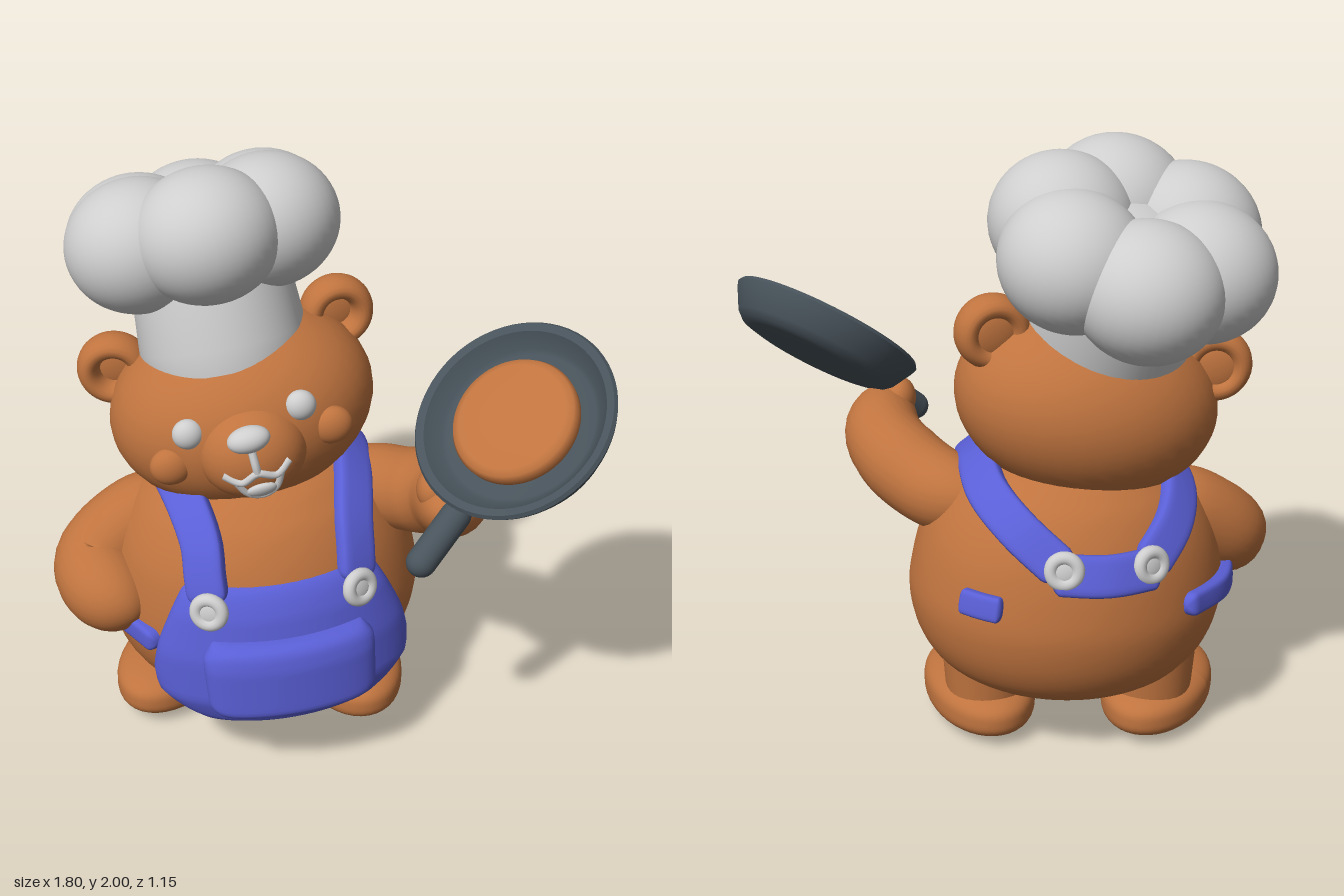
import * as THREE from 'three';
import { toCreasedNormals } from 'three/addons/utils/BufferGeometryUtils.js';

const V = (x, y, z) => new THREE.Vector3(x, y, z);
const mat = (name, color, side = THREE.FrontSide) => {
  const m = new THREE.MeshStandardMaterial({ color, side });
  m.name = name;
  return m;
};

function add(parent, name, geo, material, pos = [0, 0, 0], scale = [1, 1, 1], rot = [0, 0, 0]) {
  const m = new THREE.Mesh(geo, material);
  m.name = name;
  m.position.set(...pos);
  m.scale.set(...scale);
  m.rotation.set(...rot);
  parent.add(m);
  return m;
}

function group(parent, name, pos, rot = [0, 0, 0], order = 'XYZ') {
  const g = new THREE.Group();
  g.name = name;
  g.position.set(...pos);
  g.rotation.set(...rot, order);
  parent.add(g);
  return g;
}

// Linear lookup in [key, value] pairs
function lookup(table, k) {
  let i = 0;
  while (i < table.length - 2 && k > table[i + 1][0]) i++;
  const [a, b] = [table[i], table[i + 1]];
  const t = THREE.MathUtils.clamp((k - a[0]) / (b[0] - a[0]), 0, 1);
  return a[1] + (b[1] - a[1]) * t;
}

function indexed(pos, idx) {
  const g = new THREE.BufferGeometry();
  g.setAttribute('position', new THREE.Float32BufferAttribute(pos, 3));
  g.setIndex(idx);
  g.computeVertexNormals();
  return g;
}

// Closed sweep with rounded ends; size(t) gives half width and half thickness
function sweep(points, size, normalAt, power = 1, cap = 0.2, n = 48, m = 24) {
  const path = new THREE.CatmullRomCurve3(points);
  const pos = [], idx = [];
  const sp = (c) => Math.sign(c) * Math.abs(c) ** power;
  for (let i = 0; i <= n; i++) {
    const t = (1 - Math.cos((Math.PI * i) / n)) / 2;
    const p = path.getPointAt(t), T = path.getTangentAt(t);
    const N = normalAt(p).addScaledVector(T, -normalAt(p).dot(T)).normalize();
    const U = N.clone().cross(T);
    const e = Math.sqrt(Math.max(1e-6, 1 - Math.max(0, 1 - t / cap, 1 - (1 - t) / cap) ** 2));
    const [w, h] = size(t);
    for (let j = 0; j < m; j++) {
      const a = (j / m) * Math.PI * 2;
      const q = p.clone().addScaledVector(U, sp(Math.cos(a)) * w * e).addScaledVector(N, sp(Math.sin(a)) * h * e);
      pos.push(q.x, q.y, q.z);
      if (i < n) {
        const A = i * m + j, B = i * m + ((j + 1) % m);
        idx.push(A, B, A + m, B, B + m, A + m);
      }
    }
  }
  return indexed(pos, idx);
}

// Torso outline and the matching surface point at an angle from the front
const SX = 1.12;
const outline = new THREE.SplineCurve([[0, 0.185], [0.25, 0.195], [0.37, 0.25], [0.44, 0.35], [0.472, 0.48], [0.465, 0.6],
  [0.437, 0.73], [0.39, 0.84], [0.33, 0.92], [0.23, 0.985], [0, 1.02]].map((p) => new THREE.Vector2(...p))).getPoints(60);
outline[0].x = outline[60].x = 0;
const torsoTable = outline.map((p) => [p.y, p.x]);
const torsoR = (y) => lookup(torsoTable, y);
const around = (a, y, r) => V(Math.sin(a) * r * SX, y, Math.cos(a) * r);

// Cushioned cloth panel wrapped round the torso
function panel(y0, y1, half, outer, inner, n = 36) {
  const pos = [], idx = [];
  const ease = (i) => Math.sin((i / n - 0.5) * Math.PI);
  for (let j = 0; j <= n; j++) for (let i = 0; i <= n; i++) {
    const u = ease(i), w = ease(j), y = y0 + ((y1 - y0) * (w + 1)) / 2;
    const puff = Math.sqrt((1 - Math.abs(u) ** 10) * (1 - Math.abs(w) ** 10));
    const p = around(u * half(y), y, THREE.MathUtils.lerp(inner(y), outer(y), puff));
    pos.push(p.x, p.y, p.z);
    if (i < n && j < n) {
      const a = j * (n + 1) + i, c = a + n + 1;
      idx.push(a, a + 1, c, a + 1, c + 1, c);
    }
  }
  return indexed(pos, idx);
}

const lathe = (pts, seg = 64) => new THREE.LatheGeometry(pts.map((p) => new THREE.Vector2(...p)), seg);

export function createModel() {
  const fur = mat('fur', 0xc0743f);
  const cloth = mat('blueCloth', 0x5a5fd6, THREE.DoubleSide);
  const white = mat('white', 0xcecece);
  const iron = mat('iron', 0x48535b);
  const ball = new THREE.SphereGeometry(1, 40, 28);
  const bear = new THREE.Group();
  bear.name = 'bearCook';

  // Torso and overalls, turned slightly to the side
  const torso = group(bear, 'torso', [-0.2, 0, -0.025], [0, 0.3, 0.045], 'YXZ');
  add(torso, 'belly', new THREE.LatheGeometry(outline, 64), fur, [0, 0, 0], [SX, 1, 1]);
  const apronR = (y) => lookup([[0.18, 0.42], [0.24, 0.49], [0.34, 0.525], [0.5, 0.52], [0.65, 0.49], [0.76, 0.45]], y);
  const apronHalf = (y) => lookup([[0.18, 0.32], [0.2, 0.5], [0.24, 0.67], [0.29, 0.82], [0.35, 0.92], [0.42, 0.92], [0.55, 0.84], [0.76, 0.68]], y);
  add(torso, 'apron', panel(0.18, 0.75, apronHalf, apronR, (y) => torsoR(y) - 0.01), cloth);
  const pocketHalf = (y) => lookup([[0.3, 0.34], [0.32, 0.43], [0.36, 0.48], [0.54, 0.5], [0.585, 0.45]], y);
  add(torso, 'pocket', panel(0.3, 0.585, pocketHalf, (y) => apronR(y) + 0.055, (y) => apronR(y) - 0.01, 28), cloth);

  const outward = (p) => V(p.x, (p.y - 0.5) * 0.9, p.z).normalize();
  const strap = (name, pts, w, cap = 0.04, thick = 0.03) =>
    add(torso, name, sweep(pts.map(([a, y]) => around(a, y, torsoR(y) + 0.01)), () => [w, thick], outward, 0.5, cap), cloth);
  const button = (a, y, r) => {
    const g = group(torso, 'button', around(a, y, r).toArray());
    g.quaternion.setFromUnitVectors(V(0, 0, 1), V(Math.sin(a), 0.2, Math.cos(a)).normalize());
    add(g, 'buttonRim', new THREE.TorusGeometry(0.043, 0.022, 14, 32), white);
    add(g, 'buttonCentre', ball, white, [0, 0, 0], [0.045, 0.045, 0.016]);
  };
  strap('leftStrap', [[0.5, 0.69], [0.56, 0.78], [0.67, 0.87], [0.97, 0.94], [1.57, 0.962], [2.1, 0.92], [2.5, 0.85], [2.87, 0.74]], 0.068);
  strap('rightStrap', [[-0.48, 0.69], [-0.52, 0.78], [-0.58, 0.87], [-0.8, 0.945], [-1.57, 0.98], [-2.2, 0.93], [-2.55, 0.85], [-2.87, 0.74]], 0.068);
  for (const s of [-1, 1]) {
    button(s * 0.465 + 0.005, 0.69, 0.49);
    button(Math.PI + s * 0.28, 0.755, 0.458);
  }
  strap('backBar', [[2.78, 0.735], [Math.PI, 0.73], [3.5, 0.735]], 0.068, 0.1);
  strap('sideBand', [[-2.58, 0.58], [-2.1, 0.57], [-1.5, 0.54], [-0.85, 0.51]], 0.04);
  strap('bandTab', [[2.2, 0.6], [2.35, 0.6], [2.5, 0.6]], 0.042, 0.1, 0.022);

  // Arms: one on the hip, one raised
  const limb = (pts, radii, cap) => sweep(pts.map((p) => V(...p)), (t) => {
    const r = lookup(radii, t);
    return [r, r];
  }, () => V(0, 1, 0.2).normalize(), 1, cap);
  add(bear, 'hipArm', limb([[-0.42, 0.81, 0.0], [-0.63, 0.75, 0.05], [-0.76, 0.62, 0.15], [-0.6, 0.55, 0.36]],
    [[0, 0.13], [1, 0.15]], 0.3), fur);
  add(bear, 'raisedArm', limb([[0.0, 0.84, -0.17], [0.22, 0.85, -0.05], [0.4, 0.94, 0.13], [0.4, 1.02, 0.37]],
    [[0, 0.13], [0.5, 0.142], [1, 0.115]], 0.3), fur);
  add(bear, 'thumb', ball, fur, [0.36, 1.04, 0.25], [0.055, 0.07, 0.07]);

  // Legs and feet
  const footGeo = new THREE.SphereGeometry(1, 40, 40);
  const fp = footGeo.attributes.position;
  for (let i = 0; i < fp.count; i++) {
    const y = fp.getY(i), h = Math.hypot(fp.getX(i), fp.getZ(i)) || 1;
    const r = Math.sqrt(Math.max(0, 1 - Math.abs(y) ** 3));
    fp.setXYZ(i, (fp.getX(i) / h) * r, y, (fp.getZ(i) / h) * r);
  }
  footGeo.computeVertexNormals();
  for (const [x, z, yaw] of [[-0.54, -0.02, -0.3], [0.07, -0.06, 0.36]]) {
    const leg = group(bear, 'leg', [x, 0, z], [0, yaw, 0]);
    add(leg, 'foot', footGeo, fur, [0, 0.105, 0], [0.18, 0.097, 0.285]);
    add(leg, 'shin', new THREE.CylinderGeometry(0.15, 0.135, 0.2, 32), fur, [0, 0.21, -0.09]);
  }

  // Head, tilted
  const head = group(bear, 'head', [-0.28, 1.17, -0.03], [0, 0.23, 0.21], 'YXZ');
  const [hx, hy, hz] = [0.435, 0.32, 0.355];
  const faceZ = (x, y) => hz * Math.sqrt(1 - (x / hx) ** 2 - (y / hy) ** 2);
  add(head, 'skull', ball, fur, [0, 0, 0], [hx, hy, hz]);
  add(head, 'muzzle', ball, fur, [0, -0.015, 0.28], [0.175, 0.16, 0.15]);
  add(head, 'nose', ball, white, [0, 0.09, 0.4], [0.068, 0.042, 0.045]);
  for (const s of [-1, 1]) {
    add(head, 'eye', ball, white, [s * 0.18, 0.1, faceZ(0.18, 0.1) - 0.008], [0.05, 0.05, 0.04]);
    add(head, 'cheek', ball, fur, [s * 0.26, -0.01, faceZ(0.26, 0.01) - 0.01], [0.068, 0.064, 0.045]);
    const ear = group(head, 'ear', [s * 0.37, 0.195, -0.07], [0, s * 0.15, 0]);
    add(ear, 'earRim', new THREE.TorusGeometry(0.084, 0.038, 18, 40), fur, [0, 0, 0], [1, 1, 1.6]);
    add(ear, 'earInner', ball, fur, [0, 0, -0.02], [0.085, 0.085, 0.03]);
  }
  // Mouth follows the muzzle surface
  const mz = (x, y) => V(x, y, 0.28 + 0.15 * Math.sqrt(1 - (x / 0.175) ** 2 - ((y + 0.015) / 0.16) ** 2));
  const line = (pts) => new THREE.TubeGeometry(new THREE.CatmullRomCurve3(pts.map(([x, y]) => mz(x, y))), 24, 0.013, 8);
  add(head, 'smile', line([[-0.105, -0.015], [-0.055, -0.045], [0, -0.02], [0.055, -0.045], [0.105, -0.015]]), white);
  add(head, 'lipLine', line([[0, 0.06], [0, 0.01], [0, -0.02]]), white);
  add(head, 'lowerLip', line([[-0.072, -0.04], [-0.045, -0.095], [0, -0.118], [0.045, -0.095], [0.072, -0.04]]), white);
  add(head, 'tongue', ball, white, mz(0, -0.09).toArray(), [0.048, 0.032, 0.018], [0.6, 0, 0]);

  // Cook's hat: band and six puffs
  const hat = group(bear, 'hat', [-0.412, 1.715, -0.15], [-0.31, 0, 0.215]);
  add(hat, 'hatBand', toCreasedNormals(lathe([[0, -0.43], [0.255, -0.43], [0.272, -0.35], [0.256, -0.15], [0.26, 0], [0, 0.02]]), 0.6), white);
  for (const deg of [13, 75, 128, 193, 254, 309]) {
    const a = THREE.MathUtils.degToRad(deg);
    add(hat, 'hatPuff', ball, white, [Math.sin(a) * 0.228, 0, Math.cos(a) * 0.228], [0.235, 0.213, 0.232], [0, a, 0]);
  }
  add(hat, 'hatCentre', ball, white, [0, 0, 0], [0.22, 0.13, 0.22]);

  // Frying pan with a pancake, handle along local z
  const pan = group(bear, 'fryingPan', [0.62, 1.256, 0.21]);
  const up = V(-0.4, 0.76, 0.51).normalize();
  const along = V(-0.27, -0.39, 0.25);
  along.addScaledVector(up, -along.dot(up)).normalize();
  pan.quaternion.setFromRotationMatrix(new THREE.Matrix4().makeBasis(up.clone().cross(along), up, along));
  add(pan, 'panBowl', toCreasedNormals(lathe([[0, -0.06], [0.23, -0.06], [0.265, -0.052], [0.29, -0.03], [0.326, 0.035],
    [0.333, 0.053], [0.325, 0.065], [0.3, 0.06], [0.262, 0.01], [0.245, 0], [0, 0]]), 0.7), iron);
  add(pan, 'panHandle', new THREE.CapsuleGeometry(0.048, 0.18, 10, 24), iron, [0, -0.005, 0.43], [1, 1, 1], [Math.PI / 2, 0, 0]);
  add(pan, 'pancake', lathe([[0, -0.03], [0.19, -0.03], [0.205, -0.01], [0.207, 0.015], [0.198, 0.035], [0.175, 0.045],
    [0.1, 0.048], [0, 0.048]]), fur, [0, 0.03, 0]);
  return bear;
}
